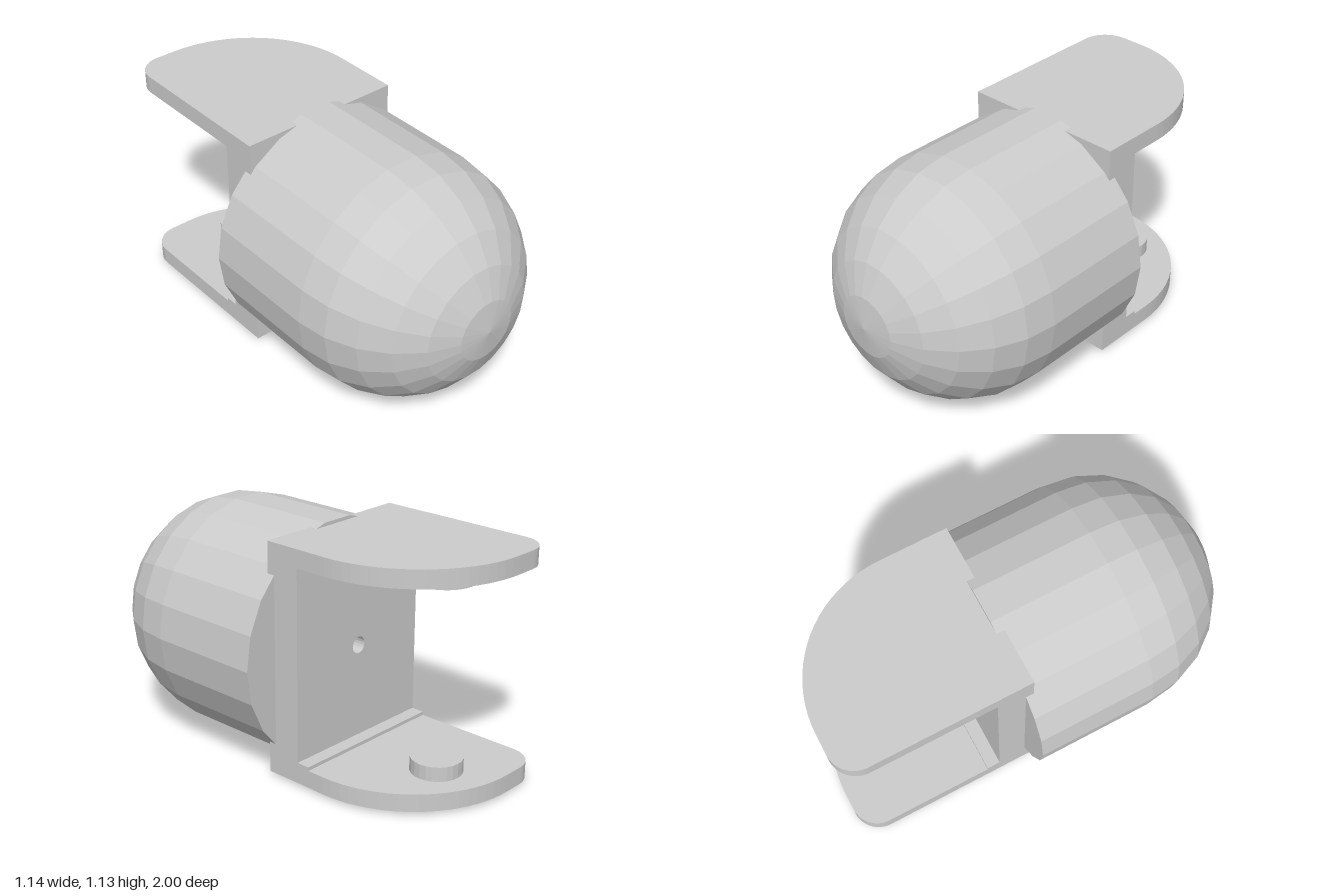
import * as THREE from 'three';

const material = new THREE.MeshStandardMaterial({ color: 0xcccccc, flatShading: true });
const CENTRE_Y = 0.566;

export function createModel() {
  const group = new THREE.Group();
  const add = (name, geometry, x = 0, y = 0, z = 0) => {
    const mesh = new THREE.Mesh(geometry, material);
    mesh.name = name;
    mesh.position.set(x, y, z);
    group.add(mesh);
  };

  // Round-nosed body: closed back, straight barrel, hemispherical front
  const radius = 0.57;
  const profile = [new THREE.Vector2(0, -0.14), new THREE.Vector2(radius, -0.14)];
  for (let i = 0; i <= 6; i++) {
    const a = (i * Math.PI) / 12;
    profile.push(new THREE.Vector2(i === 6 ? 0 : radius * Math.cos(a), 0.43 + radius * Math.sin(a)));
  }
  const body = new THREE.LatheGeometry(profile, 22, Math.PI / 2);
  body.rotateX(Math.PI / 2);
  add('body', body, 0, CENTRE_Y, 0);

  // Upright bracket plate with a small central hole
  const bottom = 0.102, top = 1.03;
  const plate = new THREE.Shape();
  plate.moveTo(-0.4, bottom);
  plate.lineTo(0.4, bottom);
  plate.lineTo(0.4, top);
  plate.lineTo(-0.4, top);
  plate.closePath();
  const hole = new THREE.Path();
  hole.absarc(0, CENTRE_Y, 0.04, 0, Math.PI * 2, true);
  plate.holes.push(hole);
  add('bracketPlate', new THREE.ExtrudeGeometry(plate, { depth: 0.173, bevelEnabled: false, curveSegments: 10 }), 0, 0, -0.275);

  // Two arms reaching back, with one large and one small rounded corner
  const arm = new THREE.Shape();
  arm.moveTo(-0.4, 0.102);
  arm.lineTo(0.4, 0.102);
  arm.lineTo(0.4, 0.43);
  arm.absarc(-0.17, 0.43, 0.57, 0, Math.PI / 2, false);
  arm.absarc(-0.27, 0.87, 0.13, Math.PI / 2, Math.PI, false);
  arm.closePath();
  const armGeometry = new THREE.ExtrudeGeometry(arm, { depth: 0.084, bevelEnabled: false, curveSegments: 10 });
  armGeometry.rotateX(-Math.PI / 2);
  add('lowerArm', armGeometry, 0, 0.018, 0);
  add('upperArm', armGeometry, 0, top, 0);

  // Low step where the plate meets the lower arm
  add('lowerStep', new THREE.BoxGeometry(0.8, 0.018, 0.065), 0, 0.11, -0.3075);

  // Facing pivot pegs
  add('lowerPeg', new THREE.CylinderGeometry(0.12, 0.12, 0.07, 24), 0, 0.136, -0.74);
  add('upperPeg', new THREE.CylinderGeometry(0.153, 0.153, 0.035, 24), 0, 1.0145, -0.74);

  return group;
}
